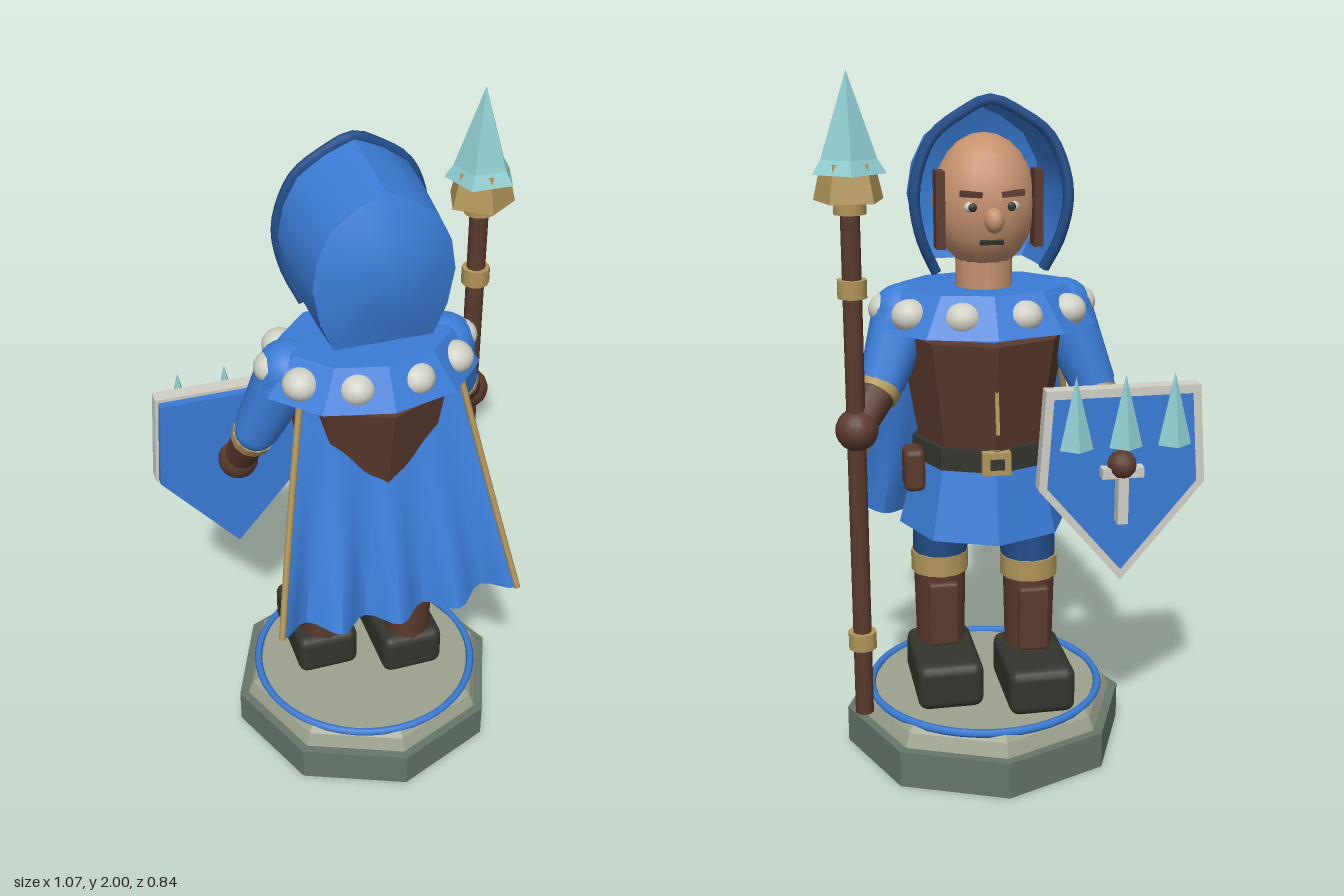
import * as THREE from 'three';
import { RoundedBoxGeometry } from 'three/addons/geometries/RoundedBoxGeometry.js';
import { toCreasedNormals } from 'three/addons/utils/BufferGeometryUtils.js';

const V = (x, y, z) => new THREE.Vector3(x, y, z);

function makeMaterials() {
  const colours = {
    blueCloth: 0x3a7cd6, darkBlueCloth: 0x234f8c, brownLeather: 0x5b3a2e, skin: 0xc6926f, gold: 0xb2965a,
    paleFur: 0xd0d0c6, crystal: 0x8ecbcf, darkStone: 0x66756a, paleStone: 0x9da28f, blackLeather: 0x35362f,
  };
  const mats = {};
  for (const [name, color] of Object.entries(colours)) {
    mats[name] = new THREE.MeshStandardMaterial({ color });
    mats[name].name = name;
  }
  mats.blueCloth.side = mats.darkBlueCloth.side = THREE.DoubleSide;
  return mats;
}

// Surface from equal-length rows of points
function loft(rows) {
  const n = rows[0].length, index = [];
  for (let i = 0; i < rows.length - 1; i++) for (let j = 0; j < n - 1; j++) {
    const a = i * n + j, b = a + 1, c = a + n, d = c + 1;
    index.push(a, c, b, b, c, d);
  }
  const geo = new THREE.BufferGeometry().setFromPoints(rows.flat());
  geo.setIndex(index);
  return toCreasedNormals(geo, 0.6);
}

// Prism with flat sides
const facet = (rTop, rBottom, h, sides, open = false) =>
  toCreasedNormals(new THREE.CylinderGeometry(rTop, rBottom, h, sides, 1, open), 0.3);

export function createModel() {
  const model = new THREE.Group();
  const m = makeMaterials();
  // The figure stands on the base centre and faces -z
  const figure = new THREE.Group();
  figure.name = 'figure';
  figure.position.x = 0.05;
  model.add(figure);

  const add = (name, geo, mat, x = 0, y = 0, z = 0, parent = figure) => {
    const mesh = new THREE.Mesh(geo, mat);
    mesh.name = name;
    mesh.position.set(x, y, z);
    parent.add(mesh);
    return mesh;
  };
  const box = (name, w, h, d, mat, x, y, z) => add(name, new THREE.BoxGeometry(w, h, d), mat, x, y, z);
  const ball = (name, r, mat, x, y, z, sx = 1, sy = 1, sz = 1) => {
    const mesh = add(name, new THREE.SphereGeometry(r, 16, 12), mat, x, y, z);
    mesh.scale.set(sx, sy, sz);
    return mesh;
  };
  const limb = (name, a, b, rA, rB, mat, sides = 12) => {
    const mesh = add(name, new THREE.CylinderGeometry(rB, rA, a.distanceTo(b), sides), mat);
    mesh.position.copy(a).lerp(b, 0.5);
    mesh.quaternion.setFromUnitVectors(V(0, 1, 0), b.clone().sub(a).normalize());
    return mesh;
  };
  const tube = (name, pts, r, mat, seg = 24) =>
    add(name, new THREE.TubeGeometry(new THREE.CatmullRomCurve3(pts, false, 'centripetal'), seg, r, 6), mat);

  // Octagonal base with a painted ring
  add('baseSlab', facet(0.42, 0.42, 0.11, 8), m.darkStone, 0, 0.055, 0);
  add('baseStep', facet(0.375, 0.392, 0.04, 8), m.paleStone, 0, 0.13, 0);
  add('baseTop', facet(0.355, 0.375, 0.018, 8), m.paleStone, 0, 0.159, 0);
  add('baseRing', new THREE.TorusGeometry(0.345, 0.012, 6, 48), m.blueCloth, 0, 0.168, 0).rotation.x = Math.PI / 2;

  // Legs, one a step ahead of the other
  for (const s of [-1, 1]) {
    const x = s * 0.128, z = s * 0.04;
    add('boot', new RoundedBoxGeometry(0.195, 0.14, 0.31, 2, 0.03), m.blackLeather, x, 0.238, z - 0.075);
    limb('shin', V(x, 0.28, z), V(x, 0.54, z), 0.072, 0.078, m.brownLeather);
    add('shinGuard', new RoundedBoxGeometry(0.09, 0.2, 0.03, 2, 0.01), m.brownLeather, x, 0.41, z - 0.075);
    limb('kneeCuff', V(x, 0.53, z), V(x, 0.592, z), 0.086, 0.086, m.gold);
    limb('thigh', V(x, 0.57, z), V(x * 0.85, 0.85, z * 0.6), 0.08, 0.1, m.darkBlueCloth);
  }

  // Torso, belt and skirt
  add('skirt', facet(0.195, 0.25, 0.22, 8, true), m.blueCloth, 0, 0.81, 0);
  add('belt', facet(0.208, 0.208, 0.065, 8), m.blackLeather, 0, 0.932, 0);
  add('jerkin', facet(0.242, 0.19, 0.31, 8), m.brownLeather, 0, 1.115, 0);
  add('chest', facet(0.17, 0.19, 0.14, 8), m.blueCloth, 0, 1.32, 0);
  box('buckle', 0.08, 0.065, 0.03, m.gold, 0, 0.932, -0.208);
  box('buckleCentre', 0.04, 0.03, 0.008, m.blackLeather, 0, 0.932, -0.226);
  box('frontSeam', 0.01, 0.2, 0.008, m.gold, 0, 1.12, -0.218).rotation.x = 0.17;
  add('pouch', new RoundedBoxGeometry(0.06, 0.125, 0.085, 2, 0.018), m.brownLeather, 0.215, 0.887, -0.07);

  // Shoulder cape with tufts of fur
  add('shoulderCape', facet(0.185, 0.25, 0.11, 10), m.blueCloth, 0, 1.345, 0).scale.x = 1.3;
  figure.children.at(-1).rotation.y = Math.PI;
  for (let i = 0; i < 10; i++) {
    const a = i * Math.PI / 5;
    ball('furTuft', 0.052, m.paleFur, 0.275 * Math.cos(a), 1.338, 0.18 * Math.sin(a), 1, 0.88, 1);
  }

  // Long cape: straight fall, with folds growing toward the hem
  const capePoint = (u, t) => V(
    u * (0.23 + 0.13 * t),
    1.3 + (0.6 + 0.045 * u * u - 1.3) * t,
    0.12 + 0.185 * t + 0.034 * Math.cos(4 * Math.PI * u) * t * t);
  const rows = [];
  for (let i = 0; i <= 10; i++) {
    rows.push(Array.from({ length: 33 }, (_, j) => capePoint(j / 16 - 1, i / 10)));
  }
  add('cape', loft(rows), m.blueCloth);
  for (const s of [-1, 1]) {
    tube('capeTrim', Array.from({ length: 9 }, (_, i) => capePoint(s, i / 8)), 0.01, m.gold);
  }

  // Arms
  const arm = (shoulder, elbow, hand) => {
    ball('shoulder', 0.088, m.blueCloth, ...shoulder.toArray());
    limb('sleeve', shoulder, elbow, 0.088, 0.066, m.blueCloth);
    ball('elbow', 0.062, m.blueCloth, ...elbow.toArray());
    const cuff = elbow.clone().lerp(hand, 0.25);
    limb('bracer', elbow, hand, 0.058, 0.046, m.brownLeather);
    limb('armBand', elbow.clone().lerp(hand, 0.08), cuff, 0.064, 0.062, m.gold);
    ball('glove', 0.06, m.brownLeather, ...hand.toArray());
  };
  arm(V(0.23, 1.32, 0), V(0.3, 1.14, -0.07), V(0.38, 1.035, -0.155));
  arm(V(-0.23, 1.32, 0), V(-0.315, 1.1, -0.05), V(-0.345, 0.92, -0.17));

  // Head and face
  limb('neck', V(0, 1.36, -0.015), V(0, 1.52, -0.015), 0.08, 0.08, m.skin, 14);
  ball('head', 0.145, m.skin, 0, 1.635, -0.02, 1, 1.3, 0.98);
  ball('nose', 0.03, m.skin, 0, 1.605, -0.182, 0.9, 1.15, 1.1);
  box('mouth', 0.065, 0.012, 0.008, m.blackLeather, 0, 1.54, -0.144).rotation.x = -0.3;
  for (const s of [-1, 1]) {
    const brow = box('eyebrow', 0.065, 0.016, 0.02, m.brownLeather, s * 0.055, 1.672, -0.152);
    brow.rotation.set(0, s * 0.3, s * 0.12);
    ball('eyeWhite', 0.022, m.paleFur, s * 0.054, 1.637, -0.143, 1, 0.7, 0.5);
    ball('pupil', 0.012, m.blackLeather, s * 0.053, 1.637, -0.152, 1, 1, 0.5);
    box('sideburn', 0.025, 0.21, 0.06, m.brownLeather, s * 0.135, 1.625, -0.09);
  }

  // Hood: arches closing to a point at the back
  const half = [[0.15, 1.46, -0.115], [0.19, 1.55, -0.14], [0.21, 1.66, -0.15], [0.195, 1.75, -0.145], [0.155, 1.83, -0.14], [0.08, 1.885, -0.135]];
  const arch = [...half, [0, 1.92, -0.13], ...half.slice().reverse().map(([x, y, z]) => [-x, y, z])];
  const back = ([x, y]) => V(x * 0.93, 1.45 + (y - 1.46) * 0.95, 0.14);
  const closed = [...arch, arch[0]];
  add('hood', loft([
    arch.map(p => V(...p)),
    arch.map(p => V(...p).lerp(back(p), 0.5).multiply(V(1.02, 1, 1))),
    arch.map(back),
  ]), m.blueCloth);
  add('hoodBack', loft([closed.map(back), closed.map(p => back(p).lerp(V(0, 1.675, 0.225), 0.5)),
    closed.map(() => V(0, 1.675, 0.2))]), m.blueCloth);
  tube('hoodRim', arch.map(p => V(...p)), 0.016, m.darkBlueCloth, 36);

  // Spear
  const sx = 0.382, sz = -0.155;
  const shaftPart = (name, y0, y1, r, mat) => limb(name, V(sx, y0, sz), V(sx, y1, sz), r, r, mat, 10);
  shaftPart('spearShaft', 0.175, 1.68, 0.027, m.brownLeather);
  for (const y of [0.38, 1.405]) shaftPart('spearRing', y, y + 0.05, 0.041, m.gold);
  shaftPart('spearNeck', 1.63, 1.67, 0.045, m.gold);
  add('spearSocket', facet(0.074, 0.098, 0.1, 5), m.gold, sx, 1.715, sz);
  for (const [name, rTop, rBottom, y0, y1] of [['crystalCollar', 0.078, 0.102, 1.738, 1.775], ['crystalTip', 0, 0.078, 1.775, 2]]) {
    add(name, facet(rTop, rBottom, y1 - y0, 5), m.crystal, sx, (y0 + y1) / 2, sz).rotation.y = Math.PI;
  }

  // Shield
  const shield = new THREE.Group();
  shield.name = 'shield';
  shield.position.set(-0.3, 0, 0);
  model.add(shield);
  const outline = k => [[-0.22, 1.145], [0.22, 1.145], [0.24, 0.86], [0, 0.575], [-0.24, 0.86]]
    .map(([x, y]) => new THREE.Vector2(x * k, 0.9 + (y - 0.9) * k));
  const plate = (pts, hole, depth) => {
    const shape = new THREE.Shape(pts);
    if (hole) shape.holes.push(new THREE.Path(hole));
    return new THREE.ExtrudeGeometry(shape, { depth, bevelEnabled: false });
  };
  add('shieldBoard', plate(outline(0.96), null, 0.045), m.blueCloth, 0, 0, -0.235, shield);
  add('shieldRim', plate(outline(1), outline(0.9), 0.045), m.paleFur, 0, 0, -0.26, shield);
  for (const x of [-0.14, 0, 0.14]) {
    add('shieldSpike', facet(0, 0.05, 0.205, 5), m.crystal, x, 1.085, -0.272, shield).rotation.y = Math.PI;
  }
  add('emblemUpright', new THREE.BoxGeometry(0.03, 0.2, 0.04), m.paleFur, 0, 0.85, -0.255, shield);
  add('emblemBar', new THREE.BoxGeometry(0.12, 0.03, 0.04), m.paleFur, 0, 0.9, -0.25, shield);
  add('emblemBoss', new THREE.SphereGeometry(0.042, 12, 8), m.brownLeather, 0, 0.92, -0.25, shield);

  return model;
}
